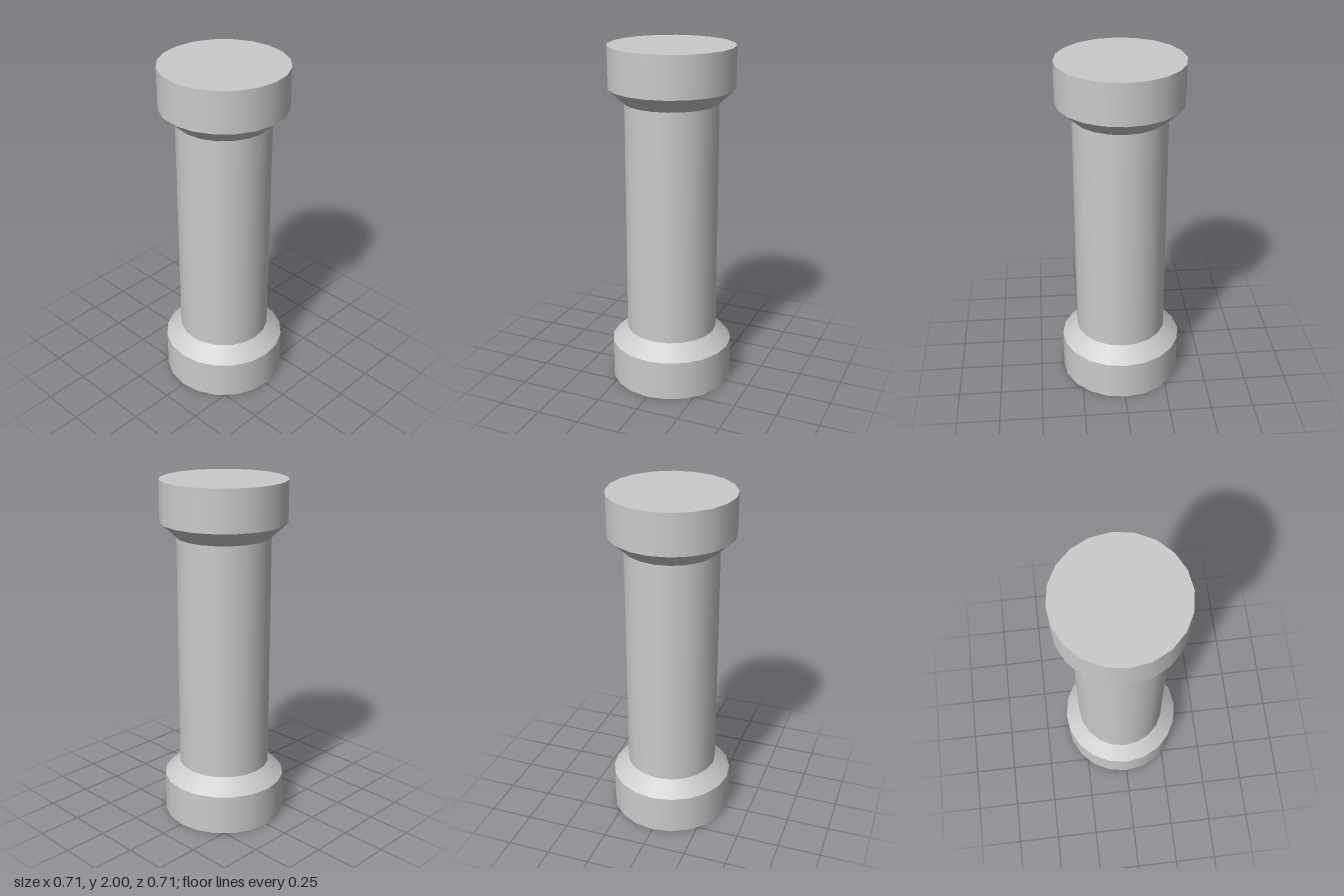
import * as THREE from 'three';

const SIDES = 20;
const OUTER = 0.357, INNER = 0.267; // collar and shaft radii
const BLOCK = 0.235, TAPER = 0.083, HEIGHT = 2;

export function createModel() {
  const group = new THREE.Group();
  group.name = 'column';
  const material = new THREE.MeshStandardMaterial({ color: 0xcccccc });

  const addDrum = (parent, name, rTop, rBottom, height, y, open = false) => {
    const geometry = new THREE.CylinderGeometry(rTop, rBottom, height, SIDES, 1, open);
    const mesh = new THREE.Mesh(geometry, material);
    mesh.name = name;
    mesh.position.y = y + height / 2;
    parent.add(mesh);
  };

  // Shaft between the two tapers
  const start = BLOCK + TAPER;
  addDrum(group, 'shaft', INNER, INNER, HEIGHT - 2 * start, start, true);

  // Base, and the same form turned over as the capital
  for (const name of ['base', 'capital']) {
    const end = new THREE.Group();
    end.name = name;
    addDrum(end, name + 'Block', OUTER, OUTER, BLOCK, 0);
    addDrum(end, name + 'Taper', INNER, OUTER, TAPER, BLOCK, true);
    if (name === 'capital') {
      end.rotation.x = Math.PI;
      end.position.y = HEIGHT;
    }
    group.add(end);
  }
  return group;
}
